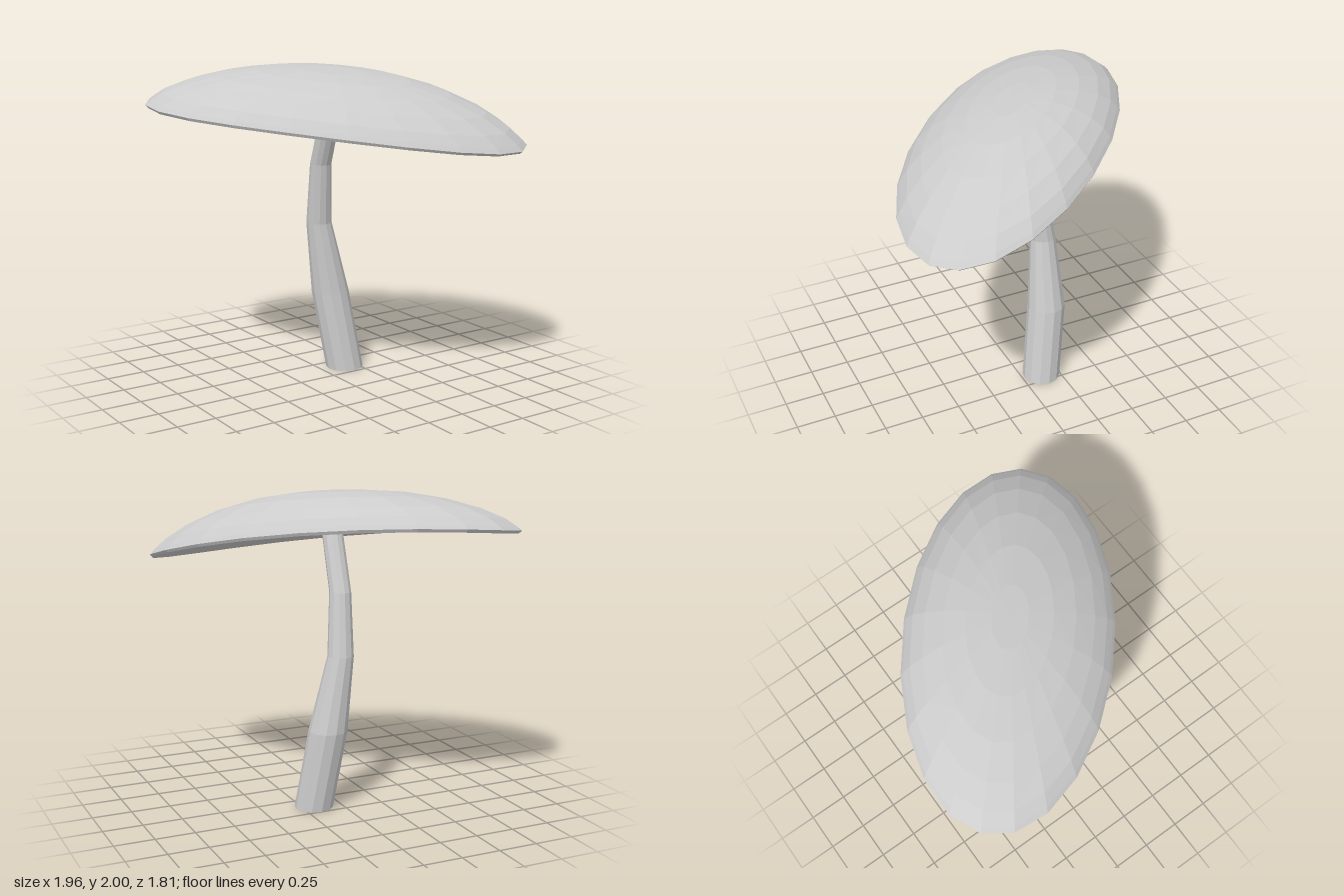
import * as THREE from 'three';

const rad = THREE.MathUtils.degToRad;

// Skin over a stack of closed rings, ordered from the lower centre outward and up
function loft(name, rings, sides, point) {
  const positions = [], index = [];
  rings.forEach((ring) => {
    for (let i = 0; i < sides; i++) positions.push(...point(ring, (i / sides) * Math.PI * 2));
  });
  for (let j = 0; j < rings.length - 1; j++) {
    for (let i = 0; i < sides; i++) {
      const a = j * sides + i, b = j * sides + (i + 1) % sides;
      const c = a + sides, d = b + sides;
      if (rings[j].r > 0) index.push(a, c, b);
      if (rings[j + 1].r > 0) index.push(b, c, d);
    }
  }
  const geometry = new THREE.BufferGeometry();
  geometry.setAttribute('position', new THREE.Float32BufferAttribute(positions, 3));
  geometry.setIndex(index);
  geometry.computeVertexNormals();
  const mesh = new THREE.Mesh(geometry, new THREE.MeshStandardMaterial({ color: 0xcccccc, flatShading: true }));
  mesh.name = name;
  return mesh;
}

export function createModel() {
  const group = new THREE.Group();
  group.name = 'mushroom';

  // Bent, tapering stem: centre x, y, z and radius of each ring
  const stemRings = [
    [0.172, 0, -0.133, 0], [0.172, 0, -0.133, 0.122], [0.103, 0.51, -0.198, 0.122],
    [0.021, 0.98, -0.206, 0.082], [-0.004, 1.37, -0.146, 0.068],
    [-0.012, 1.69, -0.025, 0.066], [-0.016, 1.88, 0.045, 0.062], [-0.016, 1.88, 0.045, 0],
  ].map(([x, y, z, r]) => ({ x, y, z, r }));
  group.add(loft('stem', stemRings, 12, ({ x, y, z, r }, t) => [x + r * Math.cos(t), y, z + r * Math.sin(t)]));

  // Cap: underside with a flat lip and raised hollow, rim, then dome; radius fraction and height
  const capRings = [
    [0, 0.24], [0.17, 0.23], [0.35, 0.205], [0.5, 0.155], [0.65, 0.1], [0.8, 0.045], [0.9, 0.015], [0.985, -0.005],
    [1, 0.012], [0.975, 0.038], [0.91, 0.094], [0.79, 0.162], [0.61, 0.23], [0.4, 0.279], [0.17, 0.303], [0, 0.305],
  ].map(([r, h]) => ({ r, h }));
  // Skewed oval outline, leaning forward, long ends drooping, crown fuller on the left
  group.add(loft('cap', capRings, 21, ({ r, h }, angle) => {
    const t = angle + rad(3);
    const x = 0.985 * r * Math.cos(t);
    const z = 0.91 * r * Math.cos(t - rad(54.5));
    const droop = 0.035 * r * r * Math.cos(2 * (t - rad(26)));
    const crown = 0.04 * x * (1 - r * r);
    return [x, 1.67 - 0.16 * z - droop + crown + h, z];
  }));

  return group;
}
